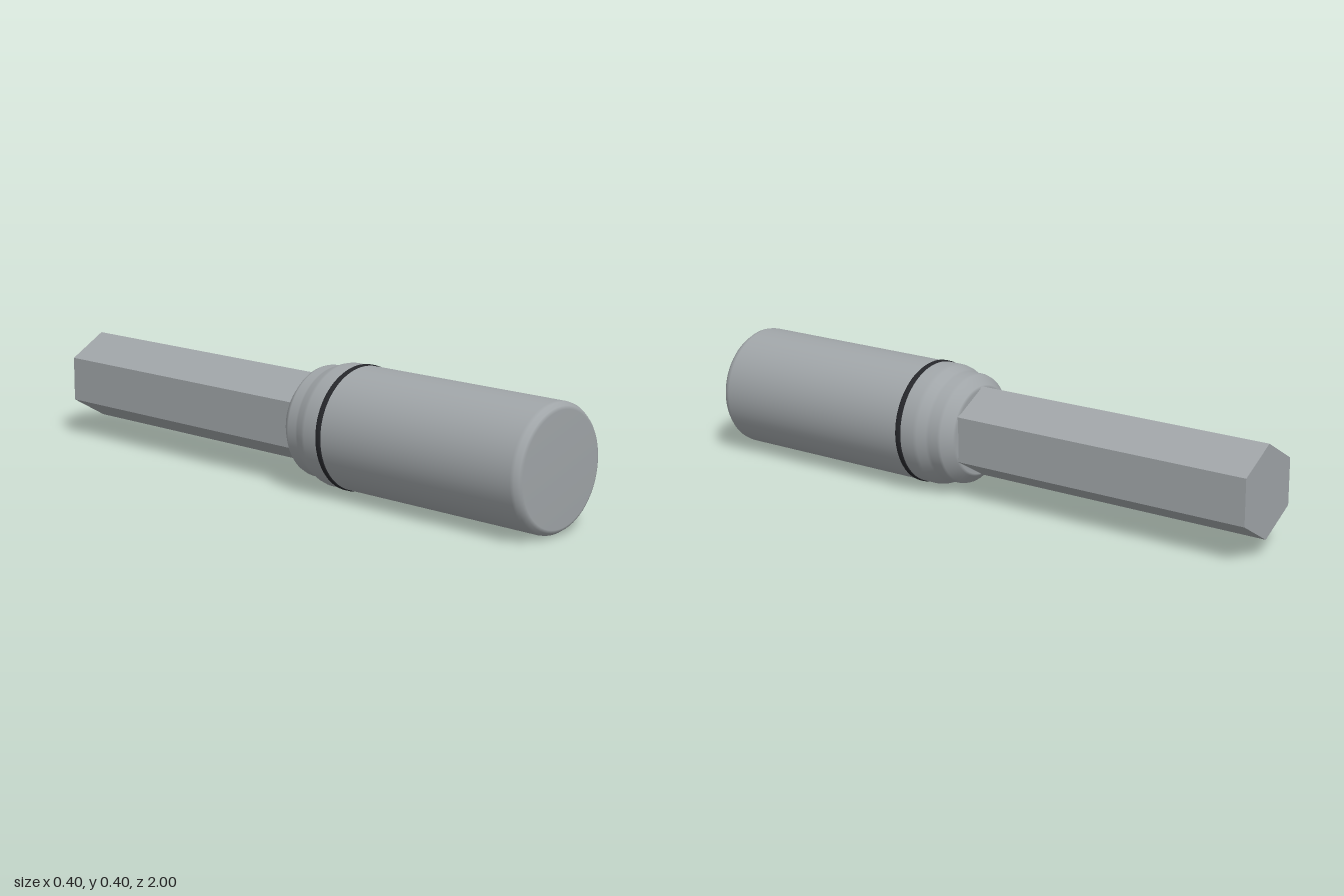
import * as THREE from 'three';

const steel = new THREE.MeshStandardMaterial({ color: 0xa0a5a8 });
steel.name = 'steel grey';
const steelFlat = steel.clone();
steelFlat.flatShading = true;
const rubber = new THREE.MeshStandardMaterial({ color: 0x26272b });
rubber.name = 'black rubber';

// Turn a profile of [radius, z] points around the long axis
function turned(name, profile, material) {
  const points = profile.map(([r, z]) => new THREE.Vector2(r, z));
  const geometry = new THREE.LatheGeometry(points, 64).rotateX(Math.PI / 2);
  const mesh = new THREE.Mesh(geometry, material);
  mesh.name = name;
  return mesh;
}

export function createModel() {
  const group = new THREE.Group();
  group.name = 'hexShankTool';

  // Round body with a stepped neck at the back and a softened front edge
  group.add(turned('body', [
    [0, 0.04], [0.14, 0.04], [0.148, 0.045], [0.176, 0.075], [0.179, 0.085],
    [0.18, 0.118], [0.183, 0.128], [0.194, 0.156], [0.197, 0.17], [0.197, 0.22],
    [0.197, 0.6], [0.197, 0.97], [0.195, 0.982], [0.186, 0.995], [0.176, 1], [0, 1],
  ], steel));

  // Thin seal ring around the body
  group.add(turned('sealRing', [
    [0.19, 0.219], [0.197, 0.219], [0.2, 0.223], [0.2, 0.236], [0.197, 0.24], [0.19, 0.24],
  ], rubber));

  // Hexagonal shank, a corner pointing up
  const shank = new THREE.Mesh(
    new THREE.CylinderGeometry(0.147, 0.147, 1.06, 6).rotateX(Math.PI / 2), steelFlat);
  shank.name = 'hexShank';
  shank.position.z = -0.47;
  group.add(shank);

  group.children.forEach((part) => { part.position.y = 0.2; });
  return group;
}
